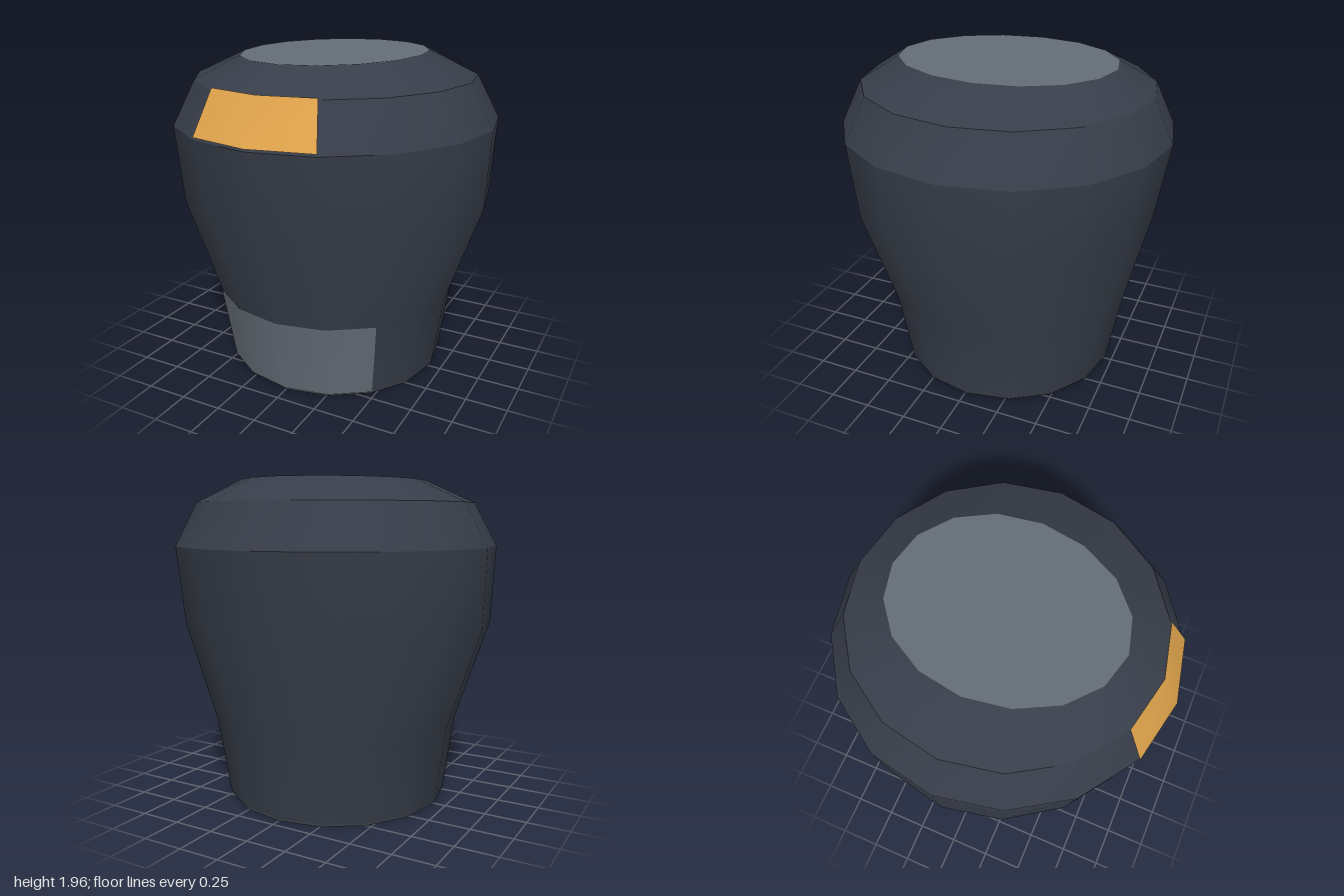
import * as THREE from 'three';
import { toCreasedNormals } from 'three/addons/utils/BufferGeometryUtils.js';

const SIDES = 16;

// Each ring: height, half width, depth to the front, depth to the back, backward shift at the sides
const LIP = [0, 0.668, 0.645, 0.692, 0.01];
const BASE = [0.02, 0.685, 0.658, 0.708, 0.01];
const WAIST = [0.49, 0.75, 0.743, 0.79, 0.012];
const CHEST = [1.1, 0.955, 0.922, 0.928, 0.02];
const SHOULDER = [1.565, 0.975, 0.991, 1.0, 0.027];
const BEVEL = [1.82, 0.835, 0.868, 0.88, 0.027];
const CROWN = [1.955, 0.53, 0.655, 0.66, 0.027];

// Point number i of a ring; 0 is the front centre, counting towards +x
function ringPoint([y, rx, front, back, shift], i) {
  const a = (i / SIDES) * Math.PI * 2;
  const s = Math.sin(a), c = Math.cos(a);
  return [rx * s, y, (c > 0 ? front : back) * c - shift * s * s];
}

// Skin stretched over a stack of rings, from side number `from` to `to`
function loft(rings, from = 0, to = SIDES) {
  const pos = [], index = [], n = to - from + 1;
  for (const r of rings) for (let i = from; i <= to; i++) pos.push(...ringPoint(r, i));
  for (let k = 0; k < rings.length - 1; k++) {
    for (let i = 0; i < n - 1; i++) {
      const a = k * n + i, d = a + n;
      index.push(a, a + 1, d + 1, a, d + 1, d);
    }
  }
  const g = new THREE.BufferGeometry();
  g.setAttribute('position', new THREE.Float32BufferAttribute(pos, 3));
  g.setIndex(index);
  return toCreasedNormals(g, THREE.MathUtils.degToRad(28));
}

// Flat lid closing a ring, facing up (dir = 1) or down (dir = -1)
function lid(ring, dir) {
  const pts = [];
  for (let i = 0; i < SIDES; i++) {
    const [x, , z] = ringPoint(ring, i);
    pts.push(new THREE.Vector2(x, -dir * z));
  }
  const g = new THREE.ShapeGeometry(new THREE.Shape(pts));
  g.rotateX((-dir * Math.PI) / 2);
  g.translate(0, ring[0], 0);
  return g;
}

// Same ring moved outwards and upwards a little, for painted panels
function raised([y, rx, front, back, shift], out, up = 0) {
  return [y + up, rx + out, front + out, back + out, shift];
}

export function createModel() {
  const navy = new THREE.MeshStandardMaterial({ color: 0x373d49 });
  navy.name = 'darkNavy';
  const grey = new THREE.MeshStandardMaterial({ color: 0x656d77 });
  grey.name = 'slateGrey';
  const amber = new THREE.MeshStandardMaterial({ color: 0xe0a44c });
  amber.name = 'amber';

  const model = new THREE.Group();
  model.name = 'taperedBody';
  const add = (name, geometry, material) => {
    const mesh = new THREE.Mesh(geometry, material);
    mesh.name = name;
    model.add(mesh);
  };

  // Main shell with its bevelled shoulder
  add('shell', loft([BASE, WAIST, CHEST, SHOULDER, BEVEL, CROWN]), navy);

  // Top lid, bottom lid and the small chamfer around the foot
  add('topLid', lid(CROWN, 1), grey);
  add('bottomLid', lid(LIP, -1), grey);
  add('footChamfer', loft([LIP, BASE]), grey);

  // Grey panel low on the front
  add('frontLowerPanel', loft([raised(BASE, 0.003), raised(WAIST, 0.003)], -2, 2), grey);

  // Amber light strip on the front of the shoulder
  add('frontLightStrip', loft([raised(SHOULDER, 0.004, 0.015), raised(BEVEL, 0.002, 0.01)], -1, 1), amber);

  return model;
}
